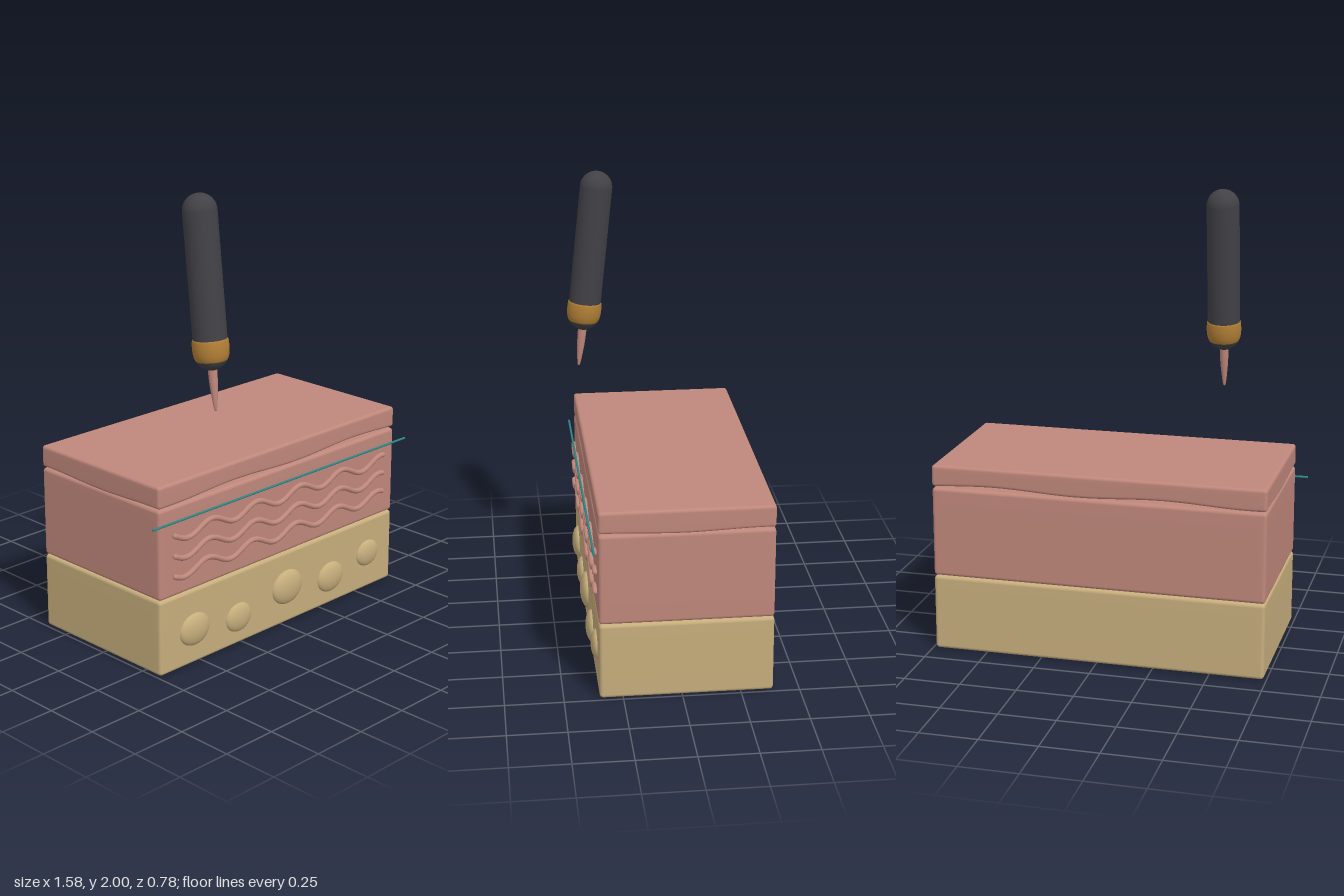
import * as THREE from 'three';
import { mergeVertices } from 'three/addons/utils/BufferGeometryUtils.js';

function material(name, color) {
  const m = new THREE.MeshStandardMaterial({ color });
  m.name = name;
  return m;
}

// Box with small rounded edges and a fine grid, so that its faces can be bent
function softBox(w, h, d, r, bend) {
  const half = [w / 2, h / 2, d / 2], n = [60, 10, 36];
  const geo = new THREE.BoxGeometry(w, h, d, ...n);
  geo.deleteAttribute('uv');
  geo.deleteAttribute('normal');
  const pos = geo.attributes.position, p = new THREE.Vector3(), inner = new THREE.Vector3();
  for (let v = 0; v < pos.count; v++) {
    p.fromBufferAttribute(pos, v);
    for (let a = 0; a < 3; a++) {
      // gather three grid lines at each edge
      const k = half[a], c = p.getComponent(a), i = Math.round((c / (2 * k) + 0.5) * n[a]);
      let q = -k + r + (2 * (k - r) * (i - 3)) / (n[a] - 6);
      if (i < 3) q = -k + (r * i) / 3;
      if (i > n[a] - 3) q = k - (r * (n[a] - i)) / 3;
      p.setComponent(a, q);
      inner.setComponent(a, THREE.MathUtils.clamp(q, -k + r, k - r));
    }
    p.sub(inner).setLength(r).add(inner);
    if (bend) bend(p);
    pos.setXYZ(v, p.x, p.y, p.z);
  }
  const merged = mergeVertices(geo, 1e-5);
  merged.computeVertexNormals();
  return merged;
}

export function createModel() {
  const skin = material('skin pink', 0xbf877b);
  const fat = material('fat yellow', 0xc6ad7c);
  const dark = material('dark grip', 0x424146);
  const gold = material('gold collar', 0xb17f36);
  const teal = material('teal line', 0x2f8585);

  const model = new THREE.Group();
  const add = (name, geo, mat, x = 0, y = 0, z = 0, parent = model) => {
    const mesh = new THREE.Mesh(geo, mat);
    mesh.name = name;
    mesh.position.set(x, y, z);
    parent.add(mesh);
    return mesh;
  };

  // Three stacked layers
  const W = 1.476, D = 0.738, Z = -0.02;
  add('fatLayer', softBox(W, 0.34, D, 0.016), fat, 0, 0.172, Z);
  add('middleLayer', softBox(W, 0.402, D, 0.016), skin, 0, 0.545, Z);
  add('topLayer', softBox(W, 0.096, D, 0.014, (p) => {
    // wavy underside
    if (p.y < 0) p.y += (0.007 * Math.sin(p.x * 8.4 + 4) + 0.005 * Math.cos(p.z * 9 + 3)) * Math.min(1, -p.y / 0.03);
  }), skin, 0, 0.8, Z);

  // Fat lobes on the front: x, y, half width, half height
  const lobe = new THREE.SphereGeometry(1, 40, 28);
  [[-0.54, 0.16, 0.086, 0.073], [-0.275, 0.128, 0.076, 0.066], [0.03, 0.175, 0.093, 0.08],
    [0.315, 0.135, 0.083, 0.071], [0.57, 0.176, 0.073, 0.062]].forEach(([x, y, rx, ry]) => {
    add('fatLobe', lobe, fat, x, y, 0.347).scale.set(rx, ry, ry * 0.43);
  });

  // Wavy fibres
  [0.615, 0.53, 0.445].forEach((y, row) => {
    const pts = [];
    for (let i = 0; i <= 100; i++) {
      const x = -0.655 + 1.31 * (i / 100);
      pts.push(new THREE.Vector3(x, y + 0.023 * Math.cos(((x + 0.445 + row * 0.012) * Math.PI * 2) / 0.272), 0));
    }
    add('fibre', new THREE.TubeGeometry(new THREE.CatmullRomCurve3(pts), 200, 0.012, 10), skin, 0, 0, 0.357);
    for (const end of [pts[0], pts[100]]) {
      add('fibreEnd', new THREE.SphereGeometry(0.012, 12, 8), skin, end.x, end.y, 0.357);
    }
  });

  // Thin guide line across the front
  add('guideLine', new THREE.CylinderGeometry(0.005, 0.005, 1.584, 10), teal, 0, 0.687, 0.37).rotation.z = Math.PI / 2;

  // Pen, built upward from its tip
  const pen = new THREE.Group();
  pen.name = 'pen';
  pen.position.set(-0.405, 1.1, 0.343);
  pen.rotation.x = -0.108;
  model.add(pen);
  const lathe = (pts) => new THREE.LatheGeometry(
    new THREE.SplineCurve(pts.map(([r, y]) => new THREE.Vector2(r, y))).getPoints(32), 40);
  add('penBody', new THREE.CapsuleGeometry(0.072, 0.588, 14, 40), dark, 0, 0.538, 0, pen);
  add('penCollar', lathe([[0.06, 0.212], [0.067, 0.216], [0.074, 0.235], [0.077, 0.258], [0.077, 0.28], [0.074, 0.303], [0.066, 0.304]]), gold, 0, 0, 0, pen);
  add('penTip', lathe([[0, 0], [0.006, 0.006], [0.013, 0.06], [0.018, 0.12], [0.02, 0.19]]), skin, 0, 0, 0, pen);

  return model;
}
